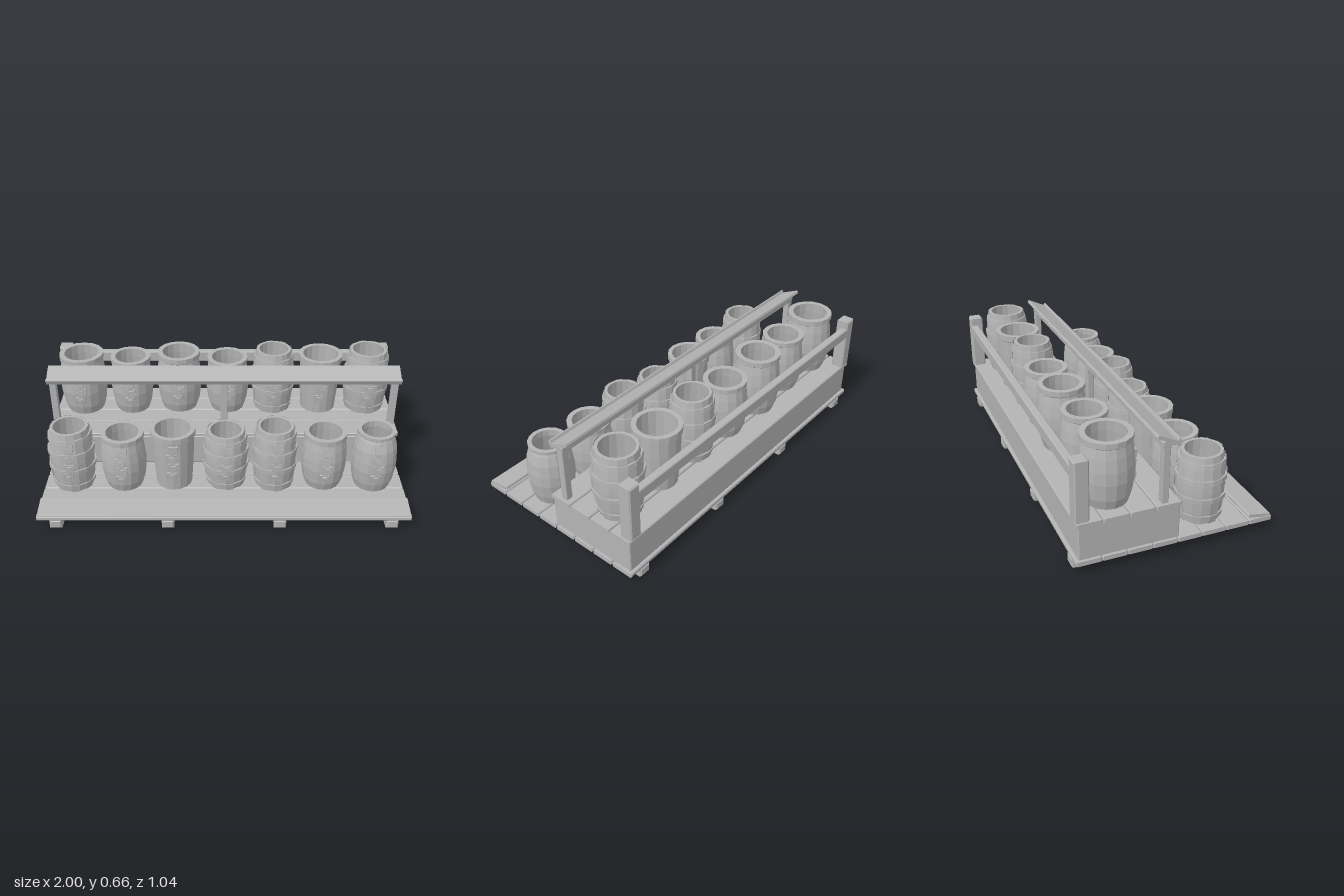
import * as THREE from 'three';

const stone = new THREE.MeshStandardMaterial({ color: 0xb4b4b4, flatShading: true, side: THREE.DoubleSide });
stone.name = 'plain grey';

function add(parent, name, geometry, x = 0, y = 0, z = 0) {
  const m = new THREE.Mesh(geometry, stone);
  m.name = name;
  m.position.set(x, y, z);
  parent.add(m);
  return m;
}

// Box with small chamfers, centred on its middle
function chamferBox(w, h, d, b = 0.005) {
  const x = w / 2 - b, y = h / 2 - b;
  const s = new THREE.Shape([[-x, -y], [x, -y], [x, y], [-x, y]].map(p => new THREE.Vector2(...p)));
  const g = new THREE.ExtrudeGeometry(s, {
    depth: d - 2 * b, bevelEnabled: true, bevelSegments: 1, bevelSize: b, bevelThickness: b,
  });
  return g.translate(0, 0, -d / 2 + b);
}

// Box given by its limits
function block(parent, name, x0, x1, y0, y1, z0, z1, b) {
  return add(parent, name, chamferBox(x1 - x0, y1 - y0, z1 - z0, b),
    (x0 + x1) / 2, (y0 + y1) / 2, (z0 + z1) / 2);
}

// Outer wall and rim/inside of each vessel: [radius, height] as fractions
const PROFILES = {
  jar: {
    wall: [[0.78, 0], [0.91, 0.15], [1, 0.38], [1, 0.55], [0.94, 0.74], [0.82, 0.89], [0.77, 0.93]],
    rim: [[0.84, 0.95], [0.84, 1], [0.66, 1], [0.66, 0.9], [0.86, 0.55], [0.7, 0.1], [0, 0.1]],
  },
  pot: {
    wall: [[0.78, 0], [0.91, 0.15], [1, 0.4], [1, 0.58], [0.95, 0.76], [0.88, 0.9]],
    rim: [[0.95, 0.92], [0.95, 1], [0.73, 1], [0.75, 0.85], [0.86, 0.5], [0.7, 0.1], [0, 0.1]],
  },
  tub: {
    wall: [[0.8, 0], [0.86, 0.3], [0.91, 0.6], [0.93, 0.88]],
    rim: [[1, 0.9], [1, 1], [0.8, 1], [0.78, 0.6], [0.7, 0.1], [0, 0.1]],
  },
  barrel: {
    wall: [[0.83, 0], [0.91, 0.17], [0.97, 0.36], [0.98, 0.5], [0.97, 0.64], [0.91, 0.83], [0.83, 1]],
    rim: [[0.7, 1], [0.8, 0.6], [0.7, 0.1], [0, 0.1]],
  },
};

const SIDES = 16;

function wallRadius(wall, t) {
  for (let i = 1; i < wall.length; i++) {
    const [r0, y0] = wall[i - 1], [r1, y1] = wall[i];
    if (t <= y1) return r0 + (r1 - r0) * (t - y0) / (y1 - y0);
  }
  return wall[wall.length - 1][0];
}

function vessel(type, r, h) {
  const g = new THREE.Group();
  g.name = type;
  const { wall, rim } = PROFILES[type];
  const points = [[0, 0], ...wall, ...rim].map(([a, t]) => new THREE.Vector2(a * r, t * h));
  add(g, type + 'Body', new THREE.LatheGeometry(points, SIDES));

  if (type === 'barrel') {
    // Raised staves on every other side
    const strip = wall.map(([a, t]) => new THREE.Vector2(a * r + 0.005, t * h));
    const step = Math.PI * 2 / SIDES;
    for (let i = 0; i < SIDES; i += 2) {
      add(g, 'stave', new THREE.LatheGeometry(strip, 1, i * step, step));
    }
    // Four hoops
    for (const t of [0.1, 0.38, 0.65, 0.88]) {
      const a = wallRadius(wall, t - 0.033) * r, b = wallRadius(wall, t + 0.033) * r;
      const hoop = [[a, -0.012], [a + 0.009, -0.012], [b + 0.009, 0.012], [b, 0.012]]
        .map(p => new THREE.Vector2(...p));
      add(g, 'hoop', new THREE.LatheGeometry(hoop, SIDES), 0, t * h, 0);
    }
  }

  // Column of clasps down the front
  [0.3, 0.47, 0.64, 0.8].forEach((t, i) => {
    const z = wallRadius(wall, t) * r;
    const slope = (wallRadius(wall, t + 0.05) - wallRadius(wall, t - 0.05)) * r / (0.1 * h);
    const x = i % 2 ? 0.006 : -0.006;
    const plate = add(g, 'clasp', new THREE.BoxGeometry(0.052, 0.042, 0.014), x, t * h, z);
    plate.rotation.x = Math.atan(slope);
    if (i < 3) {
      const knob = add(g, 'claspKnob', new THREE.BoxGeometry(0.026, 0.024, 0.014), x, t * h, z + 0.009);
      knob.rotation.x = plate.rotation.x;
      add(g, 'claspLink', new THREE.BoxGeometry(0.026, 0.09 * h, 0.012), 0, (t + 0.085) * h,
        wallRadius(wall, t + 0.085) * r);
    }
  });
  return g;
}

// type, x, z, radius, height
const FRONT_ROW = [
  ['barrel', -0.84, 0.19, 0.125, 0.37], ['pot', -0.555, 0.19, 0.125, 0.33],
  ['tub', -0.28, 0.175, 0.125, 0.345], ['barrel', 0.01, 0.175, 0.122, 0.335],
  ['barrel', 0.28, 0.19, 0.12, 0.37], ['pot', 0.555, 0.18, 0.125, 0.33],
  ['jar', 0.83, 0.195, 0.125, 0.35],
];
const BACK_ROW = [
  ['pot', -0.83, -0.305, 0.135, 0.355], ['pot', -0.545, -0.305, 0.123, 0.335],
  ['pot', -0.265, -0.325, 0.13, 0.355], ['pot', 0.02, -0.315, 0.125, 0.325],
  ['barrel', 0.29, -0.31, 0.12, 0.378], ['tub', 0.565, -0.315, 0.128, 0.345],
  ['barrel', 0.84, -0.31, 0.128, 0.375],
];

export function createModel() {
  const model = new THREE.Group();
  model.name = 'marketDisplay';

  // Floor beams and deck planks
  for (const x of [-0.9, -0.3, 0.3, 0.9]) {
    block(model, 'floorBeam', x - 0.033, x + 0.033, 0.005, 0.058, -0.518, 0.518, 0.008);
  }
  for (let i = 0; i < 8; i++) {
    const z = -0.52 + i * 0.13;
    block(model, 'deckPlank', -1, 1, 0.058, 0.082, z + 0.002, z + 0.128);
  }

  // Raised step with its own planks
  block(model, 'stepBox', -0.985, 0.985, 0.08, 0.262, -0.503, 0.01);
  for (let i = 0; i < 4; i++) {
    const z = -0.515 + i * 0.1325;
    block(model, 'stepPlank', -0.995, 0.995, 0.262, 0.285, z + 0.002, z + 0.13);
  }

  // Tilted board along the front edge
  const front = add(model, 'frontBoard', chamferBox(1.99, 0.018, 0.13), 0, 0.094, 0.45);
  front.rotation.x = 0.17;

  // Back posts and rail
  for (const s of [-1, 1]) {
    block(model, 'backPost', s * 0.95 - 0.035, s * 0.95 + 0.035, 0.285, 0.6, -0.518, -0.445, 0.007);
  }
  block(model, 'backRail', -0.93, 0.93, 0.492, 0.555, -0.517, -0.475);

  // Sign rail: posts, cross bar and tilted board with a lip
  for (const x of [-0.96, 0, 0.96]) {
    block(model, 'signPost', x - 0.019, x + 0.019, 0.285, 0.585, -0.087, -0.05, 0.003);
  }
  block(model, 'signBar', -0.98, 0.98, 0.577, 0.612, -0.09, -0.046, 0.003);
  const sign = new THREE.Group();
  sign.name = 'signBoard';
  sign.position.set(0, 0.623, -0.068);
  sign.rotation.x = 0.44;
  add(sign, 'signPanel', chamferBox(1.97, 0.018, 0.12, 0.003));
  add(sign, 'signLip', chamferBox(1.97, 0.034, 0.012, 0.002), 0, 0.008, 0.056);
  model.add(sign);

  // Two rows of vessels
  for (const [row, floor] of [[FRONT_ROW, 0.082], [BACK_ROW, 0.285]]) {
    for (const [type, x, z, r, h] of row) {
      const v = vessel(type, r, h);
      v.position.set(x, floor, z);
      model.add(v);
    }
  }
  return model;
}
